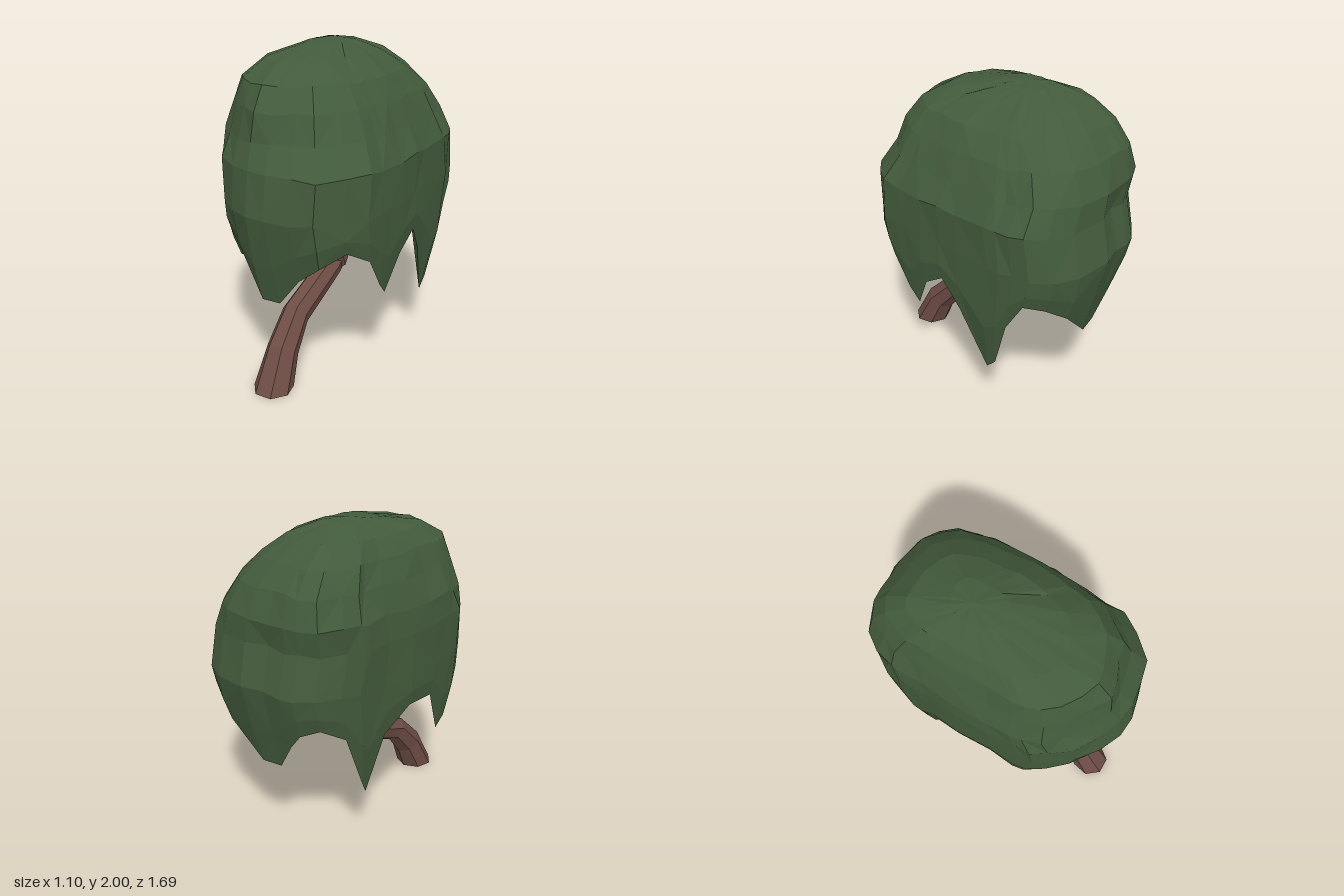
import * as THREE from 'three';

const V = (x, y, z) => new THREE.Vector3(x, y, z);

// Skin a list of equal-length rings (ordered from +z towards +x) and close both ends.
function loft(rings, startTip, endTip) {
  const n = rings[0].length, pos = [];
  const tri = (...pts) => pts.forEach(p => pos.push(p.x, p.y, p.z));
  const last = rings[rings.length - 1];
  for (let j = 0; j < n; j++) {
    const k = (j + 1) % n;
    tri(startTip, rings[0][k], rings[0][j]);
    for (let i = 0; i < rings.length - 1; i++) {
      const a = rings[i][j], b = rings[i][k], c = rings[i + 1][k], d = rings[i + 1][j];
      if ((i + j) % 2) { tri(a, b, c); tri(a, c, d); }
      else { tri(a, b, d); tri(b, c, d); }
    }
    tri(endTip, last[j], last[k]);
  }
  const g = new THREE.BufferGeometry();
  g.setAttribute('position', new THREE.Float32BufferAttribute(pos, 3));
  g.computeVertexNormals();
  return g;
}

// Tapered limb along points [x, y, z, radius]; the first ring can lie flat on the ground.
function limb(points, flatBase, sides = 7) {
  const c = points.map(p => V(p[0], p[1], p[2]));
  const rings = c.map((p, i) => {
    const t = flatBase && i === 0 ? V(0, 1, 0)
      : c[Math.min(i + 1, c.length - 1)].clone().sub(c[Math.max(i - 1, 0)]).normalize();
    const w = V(1, 0, 0).cross(t).normalize();
    const u = t.clone().cross(w);
    return Array.from({ length: sides }, (_, j) => {
      const a = (j + 0.5) / sides * Math.PI * 2;
      return p.clone().addScaledVector(u, Math.sin(a) * points[i][3])
        .addScaledVector(w, Math.cos(a) * points[i][3]);
    });
  });
  return loft(rings, c[0], c[c.length - 1]);
}

// Canopy outline: x and z at its widest, and height of the ragged hem there.
const hem = [
  [-0.10, 0.84, 0.58], [0.03, 0.835, 0.58], [0.18, 0.81, 0.76], [0.31, 0.78, 0.86],
  [0.43, 0.65, 0.94], [0.51, 0.52, 0.86], [0.53, 0.40, 0.66], [0.535, 0.32, 0.58],
  [0.55, 0.17, 0.80], [0.555, 0.0, 0.90], [0.55, -0.14, 0.73], [0.56, -0.38, 0.35],
  [0.55, -0.46, 0.42], [0.53, -0.54, 0.75], [0.51, -0.64, 0.94], [0.43, -0.75, 0.92],
  [0.29, -0.83, 0.82], [0.06, -0.84, 0.60], [-0.08, -0.81, 0.60], [-0.20, -0.80, 0.78],
  [-0.28, -0.785, 0.88], [-0.39, -0.72, 0.93], [-0.47, -0.59, 0.85], [-0.51, -0.48, 0.50],
  [-0.51, -0.43, 0.41], [-0.52, -0.27, 0.78], [-0.55, -0.06, 0.92], [-0.54, 0.18, 0.90],
  [-0.53, 0.36, 0.60], [-0.52, 0.45, 0.66], [-0.47, 0.55, 0.82], [-0.38, 0.66, 0.93],
  [-0.24, 0.76, 0.82],
];

function canopyGeometry() {
  let seed = 7;
  const rand = () => (seed = (seed * 16807) % 2147483647) / 2147483647 - 0.5;
  // Ring at a height, fitted between the given right, left, back and front limits.
  // The corners can be filled out on the -x side and trimmed on the +x side.
  const ring = (y, x0, x1, z0, z1, rough, corner = 0) => hem.map(([x, z]) => {
    const u = x / 0.56, v = z / 0.84;
    const k = 1 + rand() * rough - corner * u * Math.abs(v);
    return V((x0 + x1) / 2 + u * k * (x1 - x0) / 2, y + rand() * rough * 0.6,
      (z0 + z1) / 2 + v * k * (z1 - z0) / 2);
  });
  // Ring between the widest level (f = 0) and the hem (f = 1), drawn in as it drops.
  const skirt = (f, s) => hem.map(([x, z, h]) => {
    const drop = (1.13 - h) * f;
    return V(x * s * (1 - 0.25 * drop * drop), 1.13 - drop, z * s * (1 - 0.26 * drop));
  });
  const rings = [
    // hollow inside, from its ceiling down to the hem
    ring(1.18, -0.25, 0.24, -0.4, 0.36, 0), ring(1.12, -0.4, 0.4, -0.62, 0.6, 0),
    skirt(0.25, 0.85), skirt(0.6, 0.87), skirt(1, 0.98),
    // outside, from the hem up to the crown
    skirt(0.55, 1), ring(1.13, -0.555, 0.55, -0.84, 0.84, 0.03),
    ring(1.38, -0.565, 0.555, -0.79, 0.80, 0.04),
    ring(1.53, -0.545, 0.48, -0.79, 0.72, 0.04, 0.04),
    ring(1.69, -0.48, 0.42, -0.725, 0.675, 0.04, 0.1),
    ring(1.82, -0.43, 0.33, -0.62, 0.59, 0.03, 0.13),
    ring(1.92, -0.36, 0.18, -0.49, 0.40, 0.03, 0.13),
    ring(1.985, -0.22, 0.01, -0.28, 0.05, 0.01),
  ];
  return loft(rings, V(-0.02, 1.2, -0.02), V(-0.12, 2, -0.15));
}

export function createModel() {
  const bark = new THREE.MeshStandardMaterial({ color: 0x6d4c45, flatShading: true });
  bark.name = 'bark';
  const leaves = new THREE.MeshStandardMaterial({ color: 0x435b3c, flatShading: true });
  leaves.name = 'leaves';

  const tree = new THREE.Group();
  tree.name = 'willowTree';
  const add = (name, geometry, material) => {
    const mesh = new THREE.Mesh(geometry, material);
    mesh.name = name;
    tree.add(mesh);
  };

  // Leaning trunk that bends over and forks under the leaves
  add('trunk', limb([
    [-0.03, 0, 0.715, 0.124], [-0.03, 0.21, 0.605, 0.1], [-0.035, 0.38, 0.445, 0.088],
    [-0.035, 0.535, 0.04, 0.082], [-0.04, 0.645, -0.12, 0.09],
    [-0.06, 0.82, -0.24, 0.065], [-0.1, 1.18, -0.38, 0.04],
  ], true), bark);
  add('branch', limb([
    [-0.035, 0.55, -0.04, 0.09], [-0.03, 0.67, 0.015, 0.088],
    [-0.02, 0.84, 0.1, 0.058], [0.02, 1.18, 0.18, 0.04],
  ], false), bark);

  // Drooping hollow canopy with a ragged hem
  add('canopy', canopyGeometry(), leaves);
  return tree;
}
